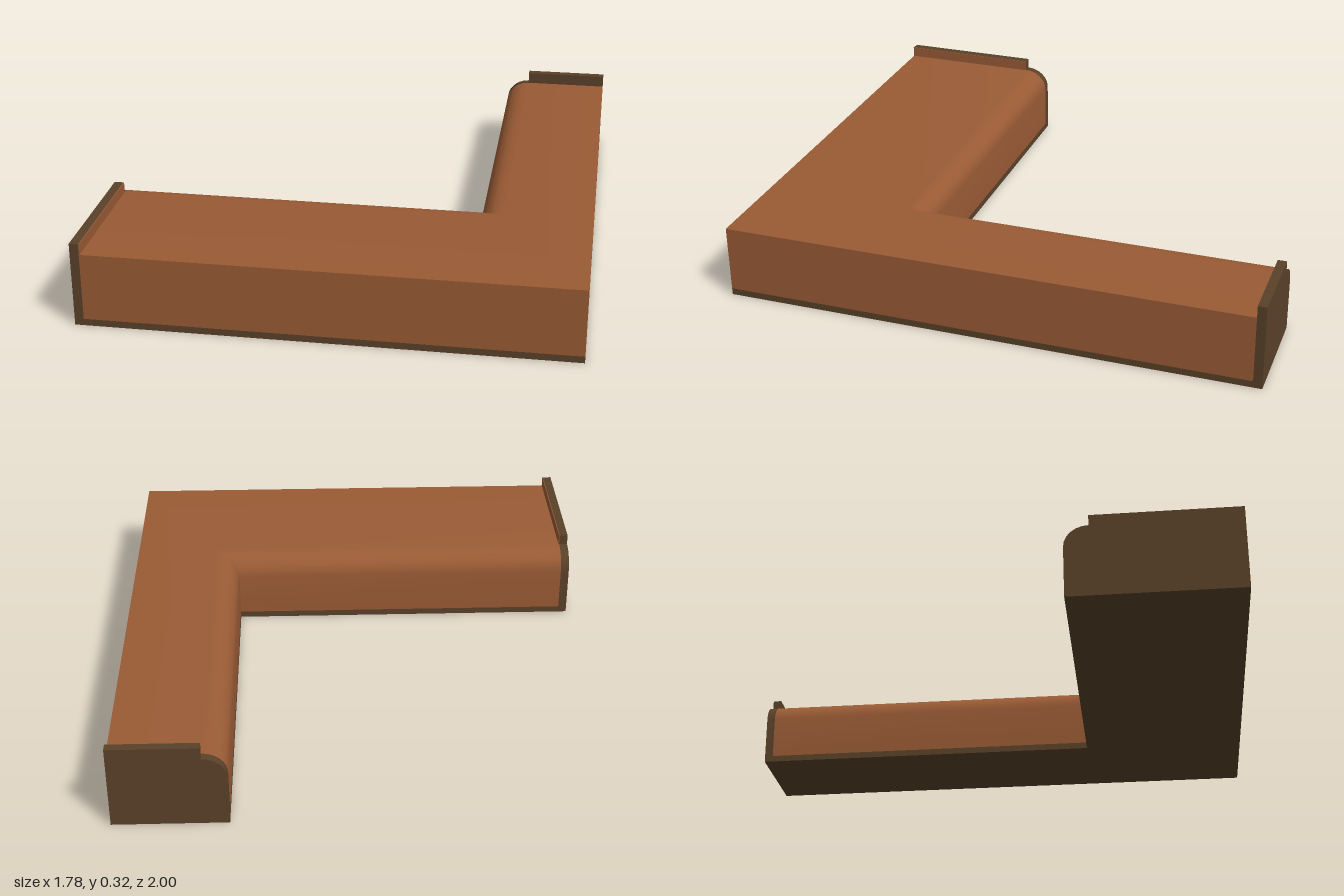
import * as THREE from 'three';
import { toCreasedNormals } from 'three/addons/utils/BufferGeometryUtils.js';

const wood = new THREE.MeshStandardMaterial({ color: 0x9a5b35 });
const darkWood = new THREE.MeshStandardMaterial({ color: 0x5a4129 });

// Inner edges of the two arms, their depths, and shared heights
const INNER_X = 0.475, INNER_Z = 0.37;
const DEPTH_X = 0.415, DEPTH_Z = 0.63;
const TOP = 0.275, BASE = 0.025, ROUND = 0.09, ROUND_H = 0.08;
const LEFT_END = -0.86, BACK_END = -0.967;

// Quarter round of the inner top edge, as [distance from inner edge, height]
const arc = Array.from({ length: 7 }, (_, i) => {
  const a = (i / 6) * Math.PI / 2;
  return [ROUND * (1 - Math.cos(a)), TOP - ROUND_H + ROUND_H * Math.sin(a)];
});

// Sweeps a section round the mitred corner; distance 'outer' reaches each arm's outer face
function sweep(section) {
  const rows = section.map(([d, y]) => {
    const dx = d === 'outer' ? DEPTH_X : d;
    const dz = d === 'outer' ? DEPTH_Z : d;
    return [
      [LEFT_END, y, INNER_Z + dz],
      [INNER_X + dx, y, INNER_Z + dz],
      [INNER_X + dx, y, BACK_END],
    ];
  });
  const pos = [];
  for (let i = 0; i < rows.length - 1; i++) {
    for (let s = 0; s < 2; s++) {
      const a = rows[i][s], b = rows[i][s + 1], c = rows[i + 1][s], d = rows[i + 1][s + 1];
      pos.push(...a, ...c, ...b, ...b, ...c, ...d);
    }
  }
  const g = new THREE.BufferGeometry();
  g.setAttribute('position', new THREE.Float32BufferAttribute(pos, 3));
  return toCreasedNormals(g, 0.5);
}

// End panel: follows the rounded edge, then steps up to a raised lip
function endPanel(depth, height, thickness) {
  const s = new THREE.Shape();
  s.moveTo(0, 0);
  s.lineTo(depth, 0);
  s.lineTo(depth, height);
  s.lineTo(ROUND, height);
  [...arc].reverse().forEach(([d, y]) => s.lineTo(d, y));
  s.closePath();
  const g = new THREE.ExtrudeGeometry(s, { depth: thickness, bevelEnabled: false });
  return toCreasedNormals(g, 0.5);
}

export function createModel() {
  const group = new THREE.Group();
  const add = (name, geometry, material, x = 0, y = 0, z = 0) => {
    const m = new THREE.Mesh(geometry, material);
    m.name = name;
    m.position.set(x, y, z);
    group.add(m);
    return m;
  };

  // L-shaped body and the dark base beneath it
  add('counterBody', sweep([[0, BASE], ...arc, ['outer', TOP], ['outer', BASE]]), wood);
  add('baseStrip', sweep([['outer', BASE], ['outer', 0], [0, 0], [0, BASE]]), darkWood);

  // End panels
  add('backEndPanel', endPanel(DEPTH_X, 0.32, 0.033), darkWood, INNER_X, 0, -1);
  add('sideEndPanel', endPanel(DEPTH_Z, 0.315, 0.033), darkWood, LEFT_END, 0, INNER_Z)
    .rotation.y = -Math.PI / 2;

  // Lighter facing on the inside of the side panel's lip
  const lip = new THREE.BoxGeometry(0.003, 0.315 - TOP, DEPTH_Z - ROUND);
  add('sidePanelLipFacing', lip, wood, LEFT_END + 0.0015, (TOP + 0.315) / 2, INNER_Z + (DEPTH_Z + ROUND) / 2);

  return group;
}
